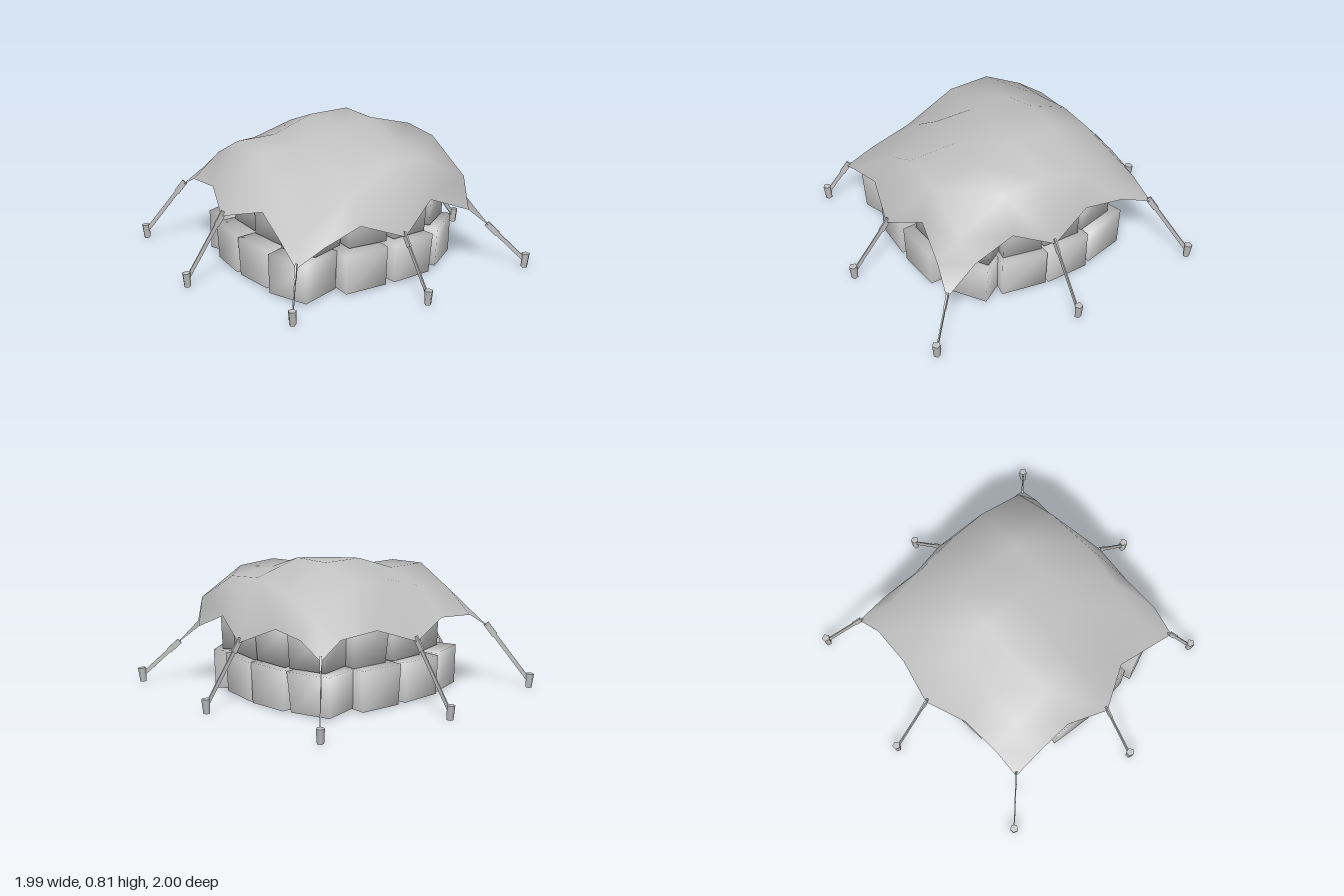
import * as THREE from 'three';
import { mergeVertices } from 'three/addons/utils/BufferGeometryUtils.js';

const canvasGrey = new THREE.MeshStandardMaterial({ color: 0xc0c0c0, side: THREE.DoubleSide });
canvasGrey.name = 'canvas grey';

function seeded(seed) {
  return () => {
    seed = (seed * 16807) % 2147483647;
    return seed / 2147483647 - 0.5;
  };
}

// Draped sheet: height, then the outline where it hangs over the load
const cols = [-0.65, -0.48, -0.23, 0.035, 0.29, 0.585, 0.7];
const rows = [-0.64, -0.46, -0.22, 0.03, 0.27, 0.575, 0.7];
const heights = [
  [0.37, 0.47, 0.49, 0.4, 0.49, 0.47, 0.38],
  [0.46, 0.6, 0.65, 0.72, 0.73, 0.56, 0.46],
  [0.48, 0.73, 0.73, 0.815, 0.815, 0.67, 0.48],
  [0.39, 0.72, 0.72, 0.79, 0.815, 0.73, 0.37],
  [0.46, 0.54, 0.715, 0.73, 0.73, 0.71, 0.48],
  [0.36, 0.43, 0.57, 0.715, 0.7, 0.54, 0.38],
  [0.27, 0.36, 0.43, 0.33, 0.47, 0.37, 0.24],
];
const backZ = [-0.63, -0.63, -0.64, -0.71, -0.65, -0.63, -0.65];
const frontZ = [0.685, 0.705, 0.69, 0.75, 0.645, 0.685, 0.71];
const leftX = [-0.65, -0.655, -0.655, -0.74, -0.61, -0.635, -0.65];
const rightX = [0.7, 0.68, 0.66, 0.73, 0.66, 0.66, 0.69];

function sheetPoint(i, j) {
  let x = cols[i], z = rows[j];
  if (j === 0) z = backZ[i];
  if (j === 6) z = frontZ[i];
  if (i === 0) x = leftX[j];
  if (i === 6) x = rightX[j];
  if ((i === 0 || i === 6) && j === 5) z = 0.51;
  if ((j === 0 || j === 6) && i === 5) x = 0.54;
  return new THREE.Vector3(x, heights[j][i], z);
}

function makeSheet() {
  const geo = new THREE.PlaneGeometry(1, 1, 6, 6);
  geo.rotateX(-Math.PI / 2);
  for (let j = 0; j < 7; j++)
    for (let i = 0; i < 7; i++) {
      const p = sheetPoint(i, j);
      geo.attributes.position.setXYZ(j * 7 + i, p.x, p.y, p.z);
    }
  geo.computeVertexNormals();
  const mesh = new THREE.Mesh(geo, canvasGrey);
  mesh.name = 'tarpaulin';
  return mesh;
}

// Slightly crooked, soft-shaded bale, narrower below, optionally without its underside
function makeBale(w, h, d, open, rand) {
  let geo = new THREE.BoxGeometry(w, h, d);
  if (open) {
    const index = Array.from(geo.index.array);
    index.splice(18, 6);
    geo.setIndex(index);
  }
  geo.deleteAttribute('normal');
  geo.deleteAttribute('uv');
  geo = mergeVertices(geo);
  const p = geo.attributes.position;
  for (let i = 0; i < p.count; i++) {
    const taper = p.getY(i) < 0 ? 0.95 : 1.01;
    p.setXYZ(i, p.getX(i) * taper + rand() * 0.012, p.getY(i) + rand() * 0.006, p.getZ(i) * taper + rand() * 0.012);
  }
  geo.computeVertexNormals();
  const bale = new THREE.Mesh(geo, canvasGrey);
  bale.name = 'bale';
  return bale;
}

// Ring of bales with turned corners: x, z and turn in degrees
const ring = [
  [-0.46, 0.44, 20], [-0.14, 0.49, -3], [0.17, 0.485, 4], [0.43, 0.37, 36],
  [0.495, 0.14, 82], [0.505, -0.12, 92], [0.455, -0.39, 106], [0.17, -0.45, 176],
  [-0.13, -0.445, 183], [-0.39, -0.37, 200], [-0.49, -0.12, 265], [-0.49, 0.16, 275],
];

function makeLayer(name, y, h, scale, cx, cz, open, rand) {
  const layer = new THREE.Group();
  layer.name = name;
  ring.forEach(([x, z, turn], k) => {
    const bh = !open && k === 0 ? 0.145 : h;
    const bale = makeBale(0.28 * scale, bh, 0.275 * scale, open, rand);
    bale.position.set(cx + x * scale, y + bh / 2, cz + z * scale);
    bale.rotation.y = THREE.MathUtils.degToRad(turn);
    layer.add(bale);
  });
  return layer;
}

// Bar stretched between two points, its tall side kept upright
function makeBar(name, a, b, width, height) {
  const bar = new THREE.Mesh(new THREE.BoxGeometry(width, height, a.distanceTo(b)), canvasGrey);
  bar.name = name;
  bar.position.copy(a).lerp(b, 0.5);
  bar.lookAt(b);
  return bar;
}

function makeGuyLine(edge, x, z) {
  const group = new THREE.Group();
  group.name = 'guyLine';
  const foot = new THREE.Vector3(x, 0.045, z);
  const out = foot.clone().sub(edge).normalize();
  group.add(makeBar('rope', foot, edge, 0.007, 0.024));
  const tabStart = edge.clone().addScaledVector(out, -0.03);
  group.add(makeBar('tab', tabStart, edge.clone().addScaledVector(out, 0.06), 0.011, 0.034));
  const peg = new THREE.Mesh(new THREE.CylinderGeometry(0.025, 0.02, 0.085, 5), canvasGrey);
  peg.name = 'peg';
  peg.position.set(x, 0.047, z);
  peg.rotation.set(z * 0.08, 0, -x * 0.08);
  group.add(peg);
  return group;
}

export function createModel() {
  const model = new THREE.Group();
  model.name = 'coveredCargo';
  const rand = seeded(4711);
  model.add(makeSheet());
  model.add(makeLayer('lowerBales', 0.01, 0.235, 1, 0, 0.01, true, rand));
  model.add(makeLayer('upperBales', 0.25, 0.225, 0.89, 0.035, 0.02, false, rand));

  // Sheet grid point, then peg x and z
  const anchors = [
    [0, 0, -0.82, -0.81], [3, 0, 0.04, -0.975], [6, 0, 0.86, -0.83],
    [0, 3, -0.97, 0.02], [6, 3, 0.97, 0.02],
    [0, 6, -0.74, 0.79], [3, 6, 0.03, 0.975], [6, 6, 0.84, 0.86],
  ];
  for (const [i, j, x, z] of anchors) model.add(makeGuyLine(sheetPoint(i, j), x, z));
  return model;
}
